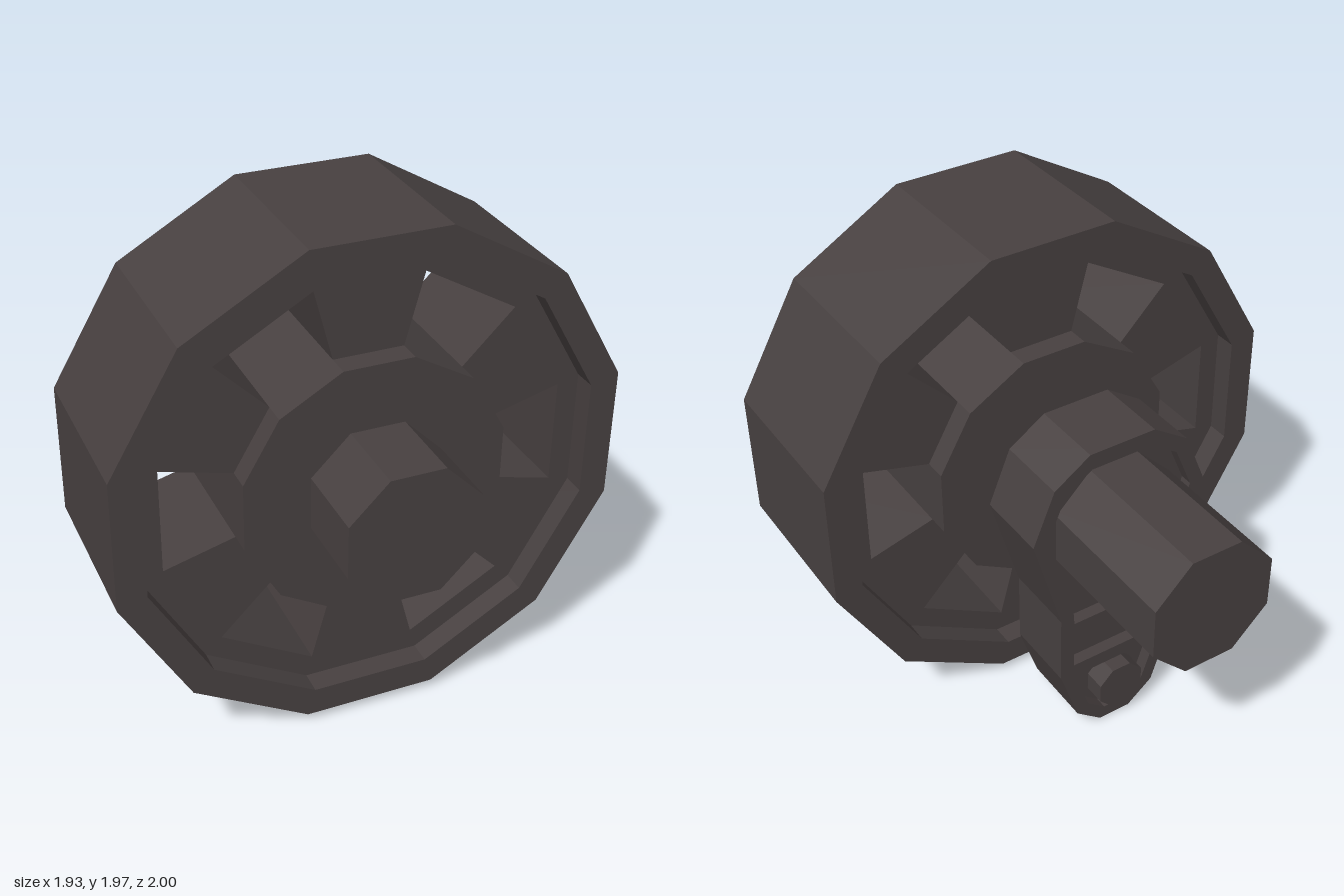
import * as THREE from 'three';

const CY = 1.005; // height of the axle line

// Regular polygon with a flat side on top
const ngon = (n, r) => Array.from({ length: n }, (_, i) => {
  const a = ((i + 0.5) * 2 * Math.PI) / n;
  return new THREE.Vector2(r * Math.cos(a), r * Math.sin(a));
});

// Mirror a right-hand outline (listed bottom to top) into a closed loop
const mirrored = (pts) => [
  ...pts.map(([x, y]) => new THREE.Vector2(x, y)),
  ...pts.slice().reverse().map(([x, y]) => new THREE.Vector2(-x, y)),
];

export function createModel() {
  const group = new THREE.Group();
  const iron = new THREE.MeshStandardMaterial({ color: 0x474040, flatShading: true });
  iron.name = 'darkIron';

  // Plate or bar between two depths, with optional holes
  function slab(name, outline, z0, z1, y = 0, holes = []) {
    const shape = new THREE.Shape(outline);
    for (const h of holes) shape.holes.push(new THREE.Path(h));
    const geo = new THREE.ExtrudeGeometry(shape, { depth: z1 - z0, bevelEnabled: false });
    const mesh = new THREE.Mesh(geo, iron);
    mesh.name = name;
    mesh.position.set(0, y, z0);
    group.add(mesh);
  }

  // Wheel: rim, recessed web with six windows, hub
  slab('rim', ngon(12, 1.0), 0, 0.68, CY, [ngon(12, 0.885)]);
  const windows = [];
  for (let i = 0; i < 6; i++) {
    const a = (i * Math.PI) / 3;
    const corner = (r, s) => new THREE.Vector2(
      r * Math.cos(a + (s * Math.PI) / 12), r * Math.sin(a + (s * Math.PI) / 12));
    windows.push([corner(0.505, -1), corner(0.797, -1), corner(0.797, 1), corner(0.505, 1)]);
  }
  slab('spokes', ngon(12, 0.89), 0.09, 0.59, CY, windows);
  slab('hub', ngon(12, 0.517), 0, 0.68, CY);

  // Axle stubs and crank pin
  slab('frontAxle', ngon(8, 0.271), 0.6, 1, CY);
  slab('rearAxle', ngon(8, 0.271), -1, -0.35, CY);
  slab('crankPin', ngon(8, 0.106), -0.485, 0.12, 0.187);

  // Crank arm: solid body and a raised frame around three pockets
  const arm = mirrored([
    [0.07, 0], [0.18, 0.09], [0.26, 0.33], [0.26, 0.63],
    [0.38, 1.05], [0.29, 1.27], [0.14, 1.37],
  ]);
  const pockets = [
    [[0.05, 0.055], [0.13, 0.12], [0.195, 0.31]],
    [[0.2, 0.37], [0.2, 0.53]],
    [[0.2, 0.59], [0.203, 0.64], [0.318, 1.05], [0.245, 1.225], [0.12, 1.31]],
  ].map(mirrored);
  slab('crankArm', arm, -0.395, -0.145);
  slab('crankArmFrame', arm, -0.445, -0.395, 0, pockets);

  return group;
}
